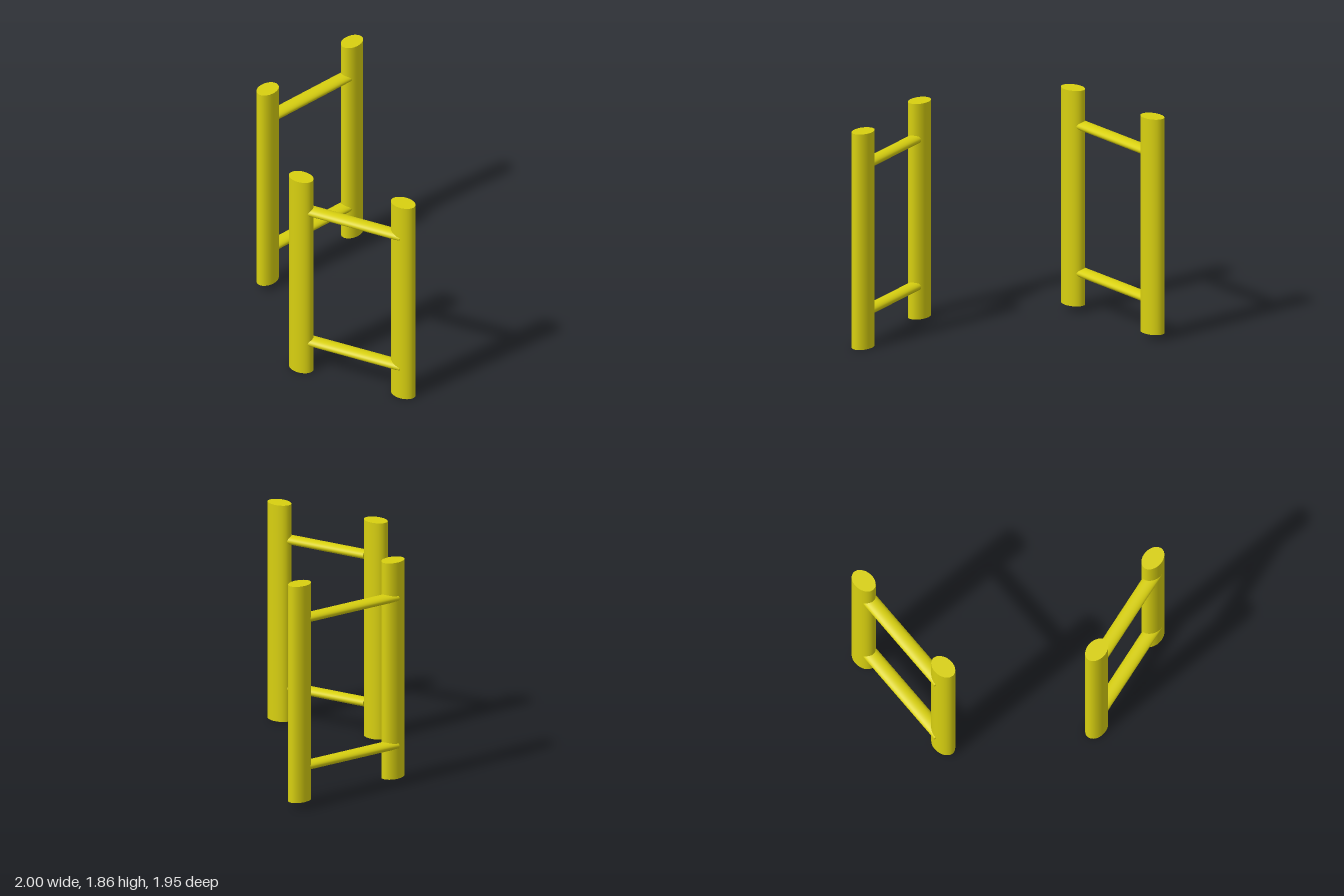
import * as THREE from 'three';

const material = new THREE.MeshStandardMaterial({ color: 0xd8d010 });

// Upright post with an oval section
function post(name, x, z, rx, rz, y0, height) {
  const geometry = new THREE.CylinderGeometry(1, 1, height, 32);
  geometry.scale(rx, 1, rz);
  const mesh = new THREE.Mesh(geometry, material);
  mesh.name = name;
  mesh.position.set(x, y0 + height / 2, z);
  return mesh;
}

// Level bar between two [x, z] points, with a flat oval section
function bar(name, [x1, z1], [x2, z2], y, halfWidth, halfHeight) {
  const length = Math.hypot(x2 - x1, z2 - z1);
  const geometry = new THREE.CylinderGeometry(1, 1, length, 32);
  geometry.rotateZ(Math.PI / 2);
  geometry.scale(1, halfHeight, halfWidth);
  const mesh = new THREE.Mesh(geometry, material);
  mesh.name = name;
  mesh.position.set((x1 + x2) / 2, y, (z1 + z2) / 2);
  mesh.rotation.y = Math.atan2(-(z2 - z1), x2 - x1);
  return mesh;
}

// Two posts joined by a lower and an upper bar
function frame({ name, posts, rx, rz, y0, ends, halfWidth }) {
  const group = new THREE.Group();
  group.name = name;
  posts.forEach(([x, z], i) =>
    group.add(post(i ? 'endPost' : 'startPost', x, z, rx, rz, y0, 1.8)));
  [['lowerBar', 0.275], ['upperBar', 1.508]].forEach(([label, y]) =>
    group.add(bar(label, ends[0], ends[1], y0 + y * 0.98 + 0.0, halfWidth, 0.036)));
  group.children[2].position.y = y0 + 0.272;
  group.children[3].position.y = y0 + 1.5;
  return group;
}

export function createModel() {
  const model = new THREE.Group();
  model.name = 'postFrames';
  model.add(
    frame({
      name: 'frontFrame',
      posts: [[0.012, 0.896], [0.888, 0.722]],
      rx: 0.108, rz: 0.077, y0: 0,
      ends: [[0.09, 0.877], [0.9, 0.741]], halfWidth: 0.06,
    }),
    frame({
      name: 'sideFrame',
      posts: [[-0.912, 0.087], [-0.781, -0.866]],
      rx: 0.077, rz: 0.108, y0: 0.055,
      ends: [[-0.938, 0.08], [-0.787, -0.8]], halfWidth: 0.0625,
    }),
  );
  return model;
}
